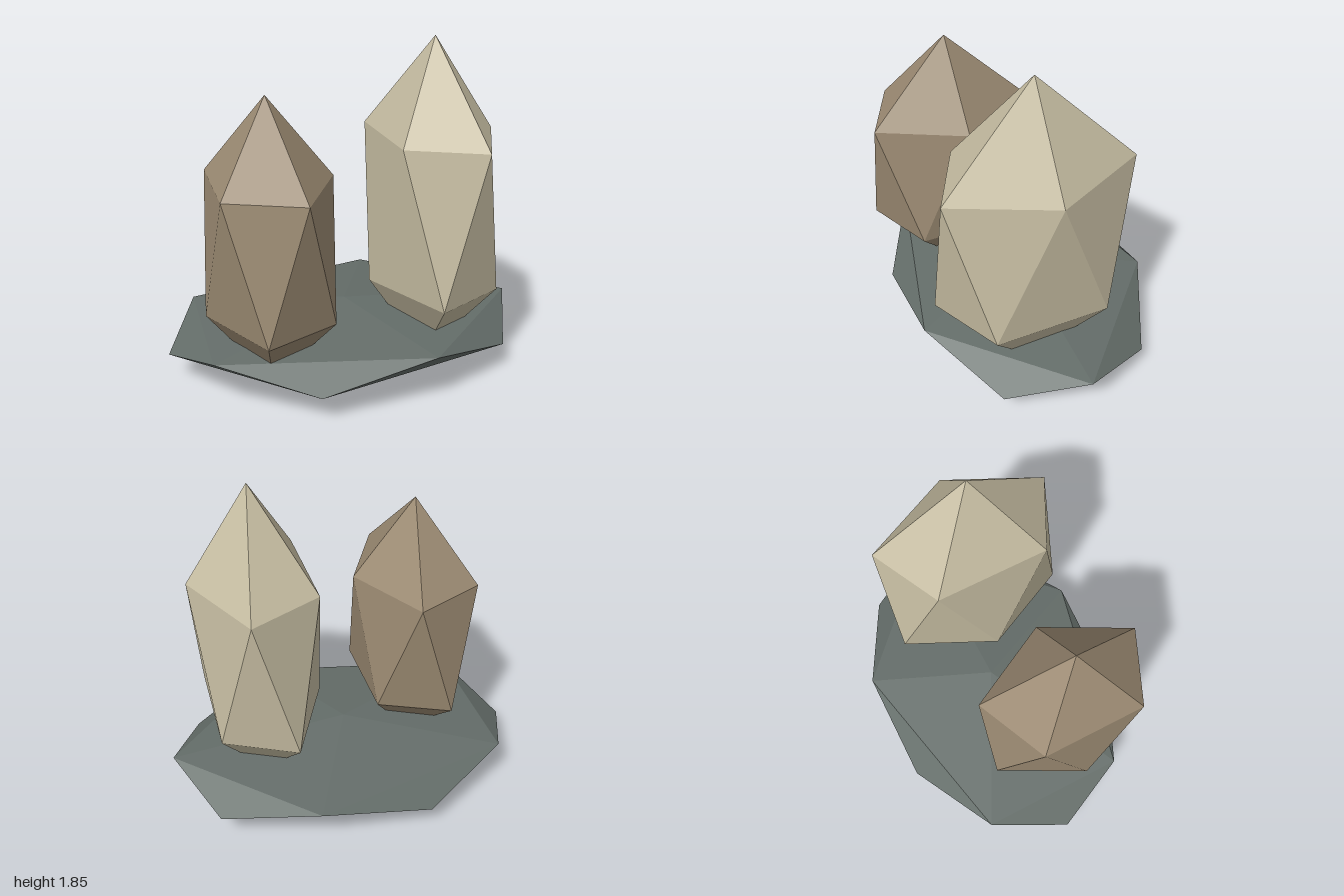
import * as THREE from 'three';

// Stretched 20-sided gem standing on a point: two staggered rings of five corners between two tips
function gem(name, color, [x, y, z], [rx, ry, rz]) {
  const ring = (offset, h) => Array.from({ length: 5 }, (_, i) => {
    const a = (i + offset) * Math.PI * 2 / 5;
    return [Math.cos(a) * rx, h, Math.sin(a) * rz];
  });
  const level = ry / Math.sqrt(5);
  const upper = ring(0, level), lower = ring(0.5, -level);
  const top = [0, ry, 0], bottom = [0, -ry, 0];
  const pos = [];
  for (let i = 0; i < 5; i++) {
    const j = (i + 1) % 5;
    pos.push(...top, ...upper[j], ...upper[i]);
    pos.push(...upper[i], ...upper[j], ...lower[i]);
    pos.push(...lower[i], ...upper[j], ...lower[j]);
    pos.push(...bottom, ...lower[i], ...lower[j]);
  }
  const geo = new THREE.BufferGeometry();
  geo.setAttribute('position', new THREE.Float32BufferAttribute(pos, 3));
  geo.computeVertexNormals();
  const mesh = new THREE.Mesh(geo, new THREE.MeshStandardMaterial({ color, flatShading: true }));
  mesh.name = name;
  mesh.position.set(x, y, z);
  return mesh;
}

export function createModel() {
  const model = new THREE.Group();
  model.name = 'crystalPair';
  model.add(
    // flat slab of rock
    gem('rockBase', 0x646d69, [0, 0.228, 0], [1, 0.147, 0.702]),
    // tall pale stone on the left, shorter brown one on the right
    gem('paleCrystal', 0xc6bda2, [0.462, 0.927, 0.105], [0.346, 0.925, 0.532]),
    gem('brownCrystal', 0x9b8a72, [-0.463, 0.823, 0.203], [0.346, 0.791, 0.48]),
  );
  return model;
}
